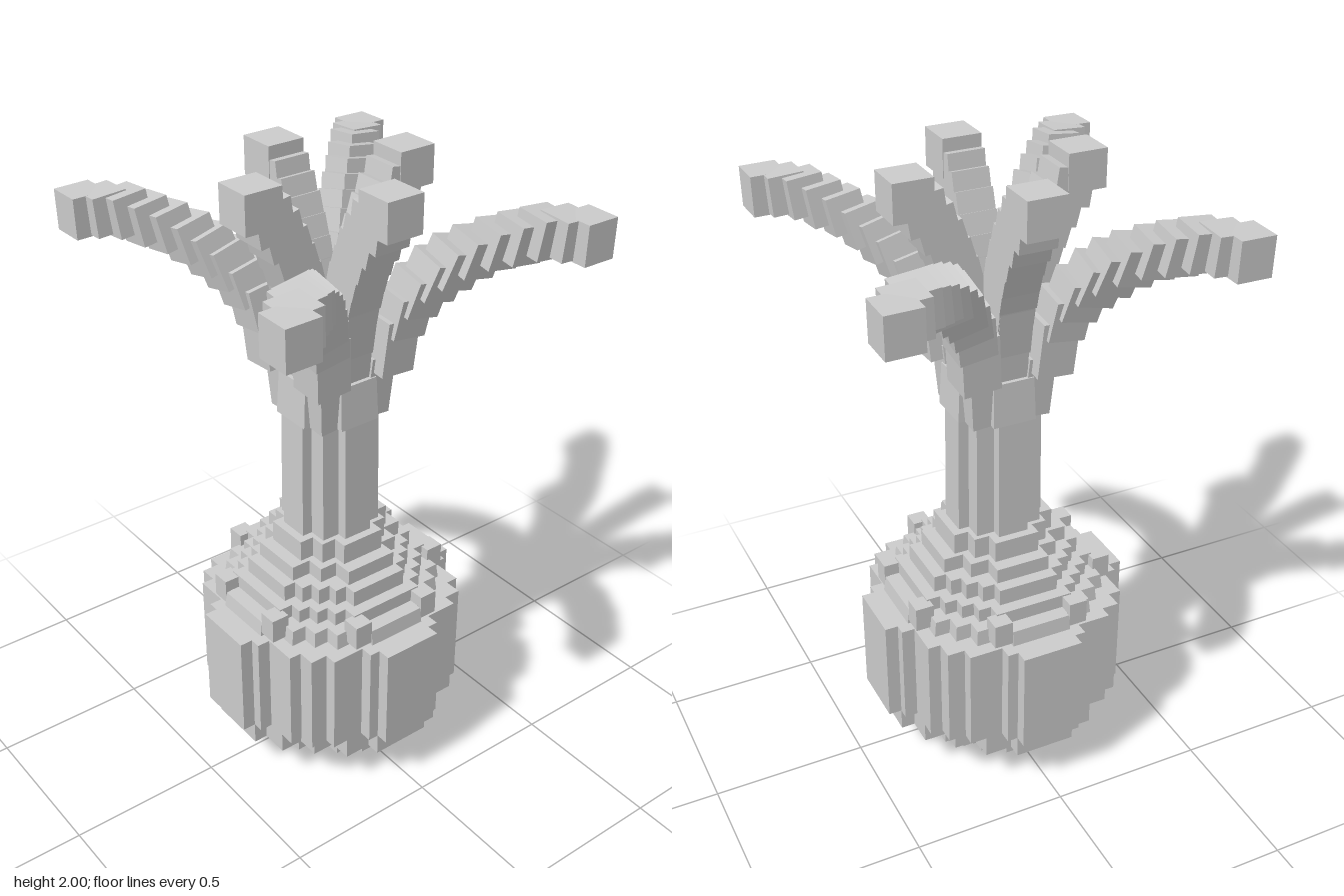
import * as THREE from 'three';

const material = new THREE.MeshStandardMaterial({ color: 0xcccccc, flatShading: true });

function addMesh(parent, geometry, name) {
  const mesh = new THREE.Mesh(geometry, material);
  mesh.name = name;
  parent.add(mesh);
  return mesh;
}

// Stair-stepped outline: steps [x, z] run from the +x face to the diagonal,
// then mirror across the diagonal and repeat in four quarters.
function steppedShape(steps) {
  const half = [];
  steps.forEach(([a, b], i) => {
    if (i > 0) half.push([a, steps[i - 1][1]]);
    half.push([a, b]);
  });
  const mirrored = half.map(([a, b]) => [b, a]).reverse();
  const quarter = half.concat(mirrored).filter((p, i, all) =>
    i === 0 || p[0] !== all[i - 1][0] || p[1] !== all[i - 1][1]);
  const points = [];
  for (let q = 0; q < 4; q++) {
    for (const [a, b] of quarter) {
      points.push(new THREE.Vector2(a, b).rotateAround(new THREE.Vector2(), q * Math.PI / 2));
    }
  }
  return new THREE.Shape(points);
}

// One horizontal slab, optionally narrowing towards its top or bottom
function layer(parent, name, y0, y1, steps, topScale = 1, bottomScale = 1) {
  const geometry = new THREE.ExtrudeGeometry(steppedShape(steps), { depth: y1 - y0, bevelEnabled: false });
  geometry.rotateX(-Math.PI / 2);
  const p = geometry.attributes.position;
  for (let i = 0; i < p.count; i++) {
    const s = p.getY(i) > (y1 - y0) / 2 ? topScale : bottomScale;
    p.setXYZ(i, p.getX(i) * s, p.getY(i) + y0, p.getZ(i) * s);
  }
  geometry.computeVertexNormals();
  addMesh(parent, geometry, name);
}

// Branch of axis-aligned blocks leaning outwards.
// Blocks: [x, z, y, width, height, tilt]
function branch(name, blocks) {
  const group = new THREE.Group();
  group.name = name;
  blocks.forEach(([x, z, y, w, h, tilt]) => {
    const block = addMesh(group, new THREE.BoxGeometry(w, h, w), 'branchBlock');
    block.position.set(x, y, z);
    block.quaternion.setFromAxisAngle(new THREE.Vector3(z, 0, -x).normalize(), tilt);
  });
  return group;
}

export function createModel() {
  const model = new THREE.Group();
  model.name = 'blockTree';

  // Bulb: stepped underside, tall belly, stepped shoulders
  const bulb = new THREE.Group();
  bulb.name = 'bulb';
  model.add(bulb);
  layer(bulb, 'foot', 0, 0.07, [[0.215, 0.095], [0.155, 0.155]], 1, 0.97);
  layer(bulb, 'lowerStep', 0.07, 0.125, [[0.305, 0.1], [0.26, 0.17], [0.215, 0.215]]);
  layer(bulb, 'upperStep', 0.125, 0.2, [[0.385, 0.1], [0.34, 0.19], [0.265, 0.265]]);
  layer(bulb, 'belly', 0.2, 0.55, [[0.427, 0.1], [0.385, 0.135], [0.343, 0.245], [0.302, 0.302]]);
  layer(bulb, 'shoulder', 0.55, 0.6, [[0.35, 0.1], [0.335, 0.14], [0.3, 0.2], [0.25, 0.25]], 0.98);
  layer(bulb, 'shoulder', 0.6, 0.645, [[0.295, 0.13], [0.25, 0.17], [0.21, 0.21]]);
  layer(bulb, 'shoulder', 0.645, 0.7, [[0.255, 0.1], [0.215, 0.14], [0.18, 0.18]]);
  layer(bulb, 'shoulder', 0.7, 0.75, [[0.215, 0.09], [0.15, 0.15]]);
  layer(bulb, 'neck', 0.75, 0.82, [[0.172, 0.075], [0.125, 0.125]]);
  // Raised corner blocks on the shoulders
  for (let i = 0; i < 8; i++) {
    const a = 0.315, b = i < 4 ? 0.13 : -0.13;
    const bump = addMesh(bulb, new THREE.BoxGeometry(0.06, 0.08, 0.06), 'shoulderBlock');
    bump.position.set(a, 0.6, b).applyAxisAngle(new THREE.Vector3(0, 1, 0), i * Math.PI / 2);
  }

  // Trunk, with a flared collar under the branches
  const trunk = new THREE.Group();
  trunk.name = 'trunk';
  model.add(trunk);
  layer(trunk, 'stem', 0.82, 1.25, [[0.145, 0.05], [0.11, 0.11]], 0.97);
  layer(trunk, 'collar', 1.22, 1.36, [[0.15, 0.07], [0.115, 0.115]], 0.95);
  layer(trunk, 'crown', 1.34, 1.42, [[0.125, 0.06], [0.1, 0.1]], 0.9);

  // Four upright branches on the axes, four long ones on the diagonals
  const upright = [
    [0.085, 0, 1.42, 0.1, 0.2, 0.1], [0.095, 0, 1.53, 0.11, 0.16, 0.15],
    [0.105, 0, 1.61, 0.115, 0.12, 0.2], [0.12, 0, 1.67, 0.12, 0.12, 0.25],
    [0.14, 0, 1.73, 0.12, 0.12, 0.3], [0.165, 0, 1.79, 0.12, 0.12, 0.3],
    [0.195, 0, 1.845, 0.12, 0.12, 0.25], [0.23, 0, 1.895, 0.12, 0.12, 0.15],
    [0.27, 0, 1.94, 0.125, 0.12, 0],
  ];
  const spreading = [
    [0.09, 0.09, 1.32, 0.09, 0.2, 0.1], [0.125, 0.125, 1.46, 0.12, 0.18, 0.1],
    [0.15, 0.15, 1.56, 0.12, 0.13, 0.2], [0.18, 0.18, 1.625, 0.12, 0.12, 0.3],
    [0.215, 0.215, 1.68, 0.12, 0.12, 0.35], [0.25, 0.25, 1.72, 0.12, 0.12, 0.35],
    [0.29, 0.29, 1.755, 0.115, 0.115, 0.3], [0.335, 0.335, 1.785, 0.11, 0.115, 0.25],
    [0.38, 0.38, 1.805, 0.11, 0.12, 0.2], [0.425, 0.425, 1.825, 0.11, 0.12, 0.15],
    [0.47, 0.47, 1.825, 0.11, 0.12, 0.08], [0.513, 0.513, 1.82, 0.112, 0.125, 0.02],
  ];
  for (let i = 0; i < 4; i++) {
    const a = branch('uprightBranch', upright);
    const b = branch('spreadingBranch', spreading);
    a.rotation.y = b.rotation.y = i * Math.PI / 2;
    model.add(a, b);
  }
  return model;
}
